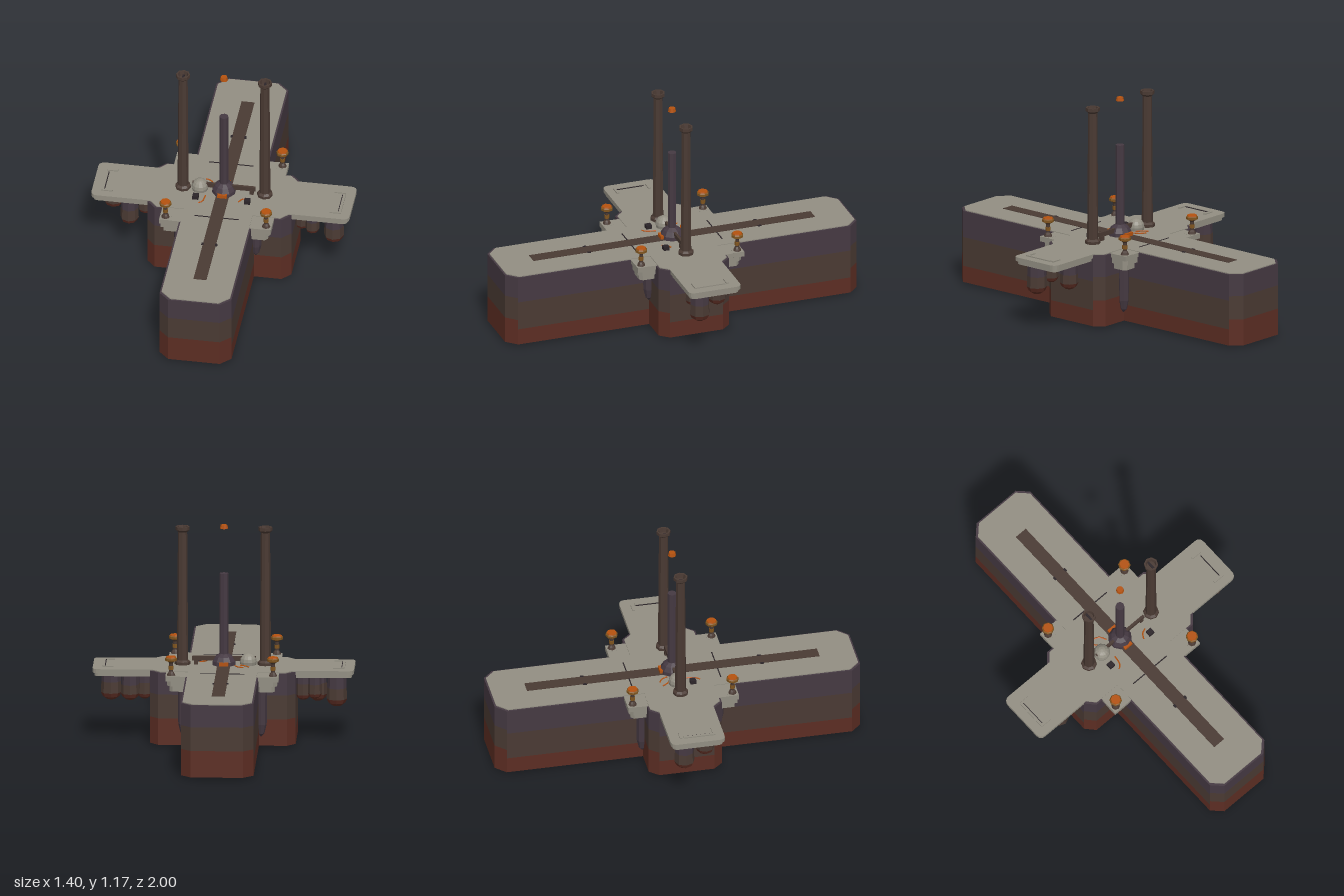
import * as THREE from 'three';

const mat = (name, color, extra = {}) => {
  const m = new THREE.MeshStandardMaterial({ color, flatShading: true, ...extra });
  m.name = name;
  return m;
};

export function createModel() {
  const stone = mat('pale stone', 0x928e82);
  const plum = mat('dark plum', 0x453942);
  const brown = mat('dark brown', 0x4a3a33);
  const rust = mat('rust red', 0x5c2d23);
  const ember = mat('ember orange', 0xb4520f);
  const bronze = mat('bronze', 0x80551f);
  const dark = mat('charcoal', 0x2b2428);
  const root = new THREE.Group();
  root.name = 'crossPlatform';

  const add = (name, geo, material, x = 0, y = 0, z = 0, parent = root) => {
    const mesh = new THREE.Mesh(geo, material);
    mesh.name = name;
    mesh.position.set(x, y, z);
    parent.add(mesh);
    return mesh;
  };
  const box = (name, w, h, d, m, x, y, z) => add(name, new THREE.BoxGeometry(w, h, d), m, x, y, z);
  const turned = (name, profile, sides, m, x, y, z) =>
    add(name, new THREE.LatheGeometry(profile.map(p => new THREE.Vector2(...p)), sides), m, x, y, z);
  // flat slab from a shape drawn in plan (shape y = -z), rising from y
  const slab = (name, shape, h, m, x, y, z) => {
    const g = new THREE.ExtrudeGeometry(shape, { depth: h, bevelEnabled: false, curveSegments: 4 });
    return add(name, g.rotateX(-Math.PI / 2), m, x, y, z);
  };

  // Cross-shaped plan with chamfered corners, inset by d
  const outline = d => {
    const q = [[0.39 - d, 0.15 - d], [0.345 - d, 0.2 - d], [0.195 - d, 0.2 - d], [0.195 - d, 0.945 - d], [0.14 - d, 1 - d]];
    const back = [...q].reverse();
    return [
      ...q, ...back.map(([x, y]) => [-x, y]),
      ...q.map(([x, y]) => [-x, -y]), ...back.map(([x, y]) => [x, -y]),
    ].map(p => new THREE.Vector2(...p));
  };

  // Hull walls in three colour bands; ends and flanks split at different heights
  const plan = outline(0);
  [['lowerHull', rust], ['middleHull', brown], ['upperHull', plum]].forEach(([name, m], band) => {
    const pos = [];
    plan.forEach((a, i) => {
      const b = plan[(i + 1) % plan.length];
      const end = Math.abs(b.x - a.x) > Math.abs(b.y - a.y) * 0.9;
      const levels = end ? [0.01, 0.155, 0.285, 0.405] : [0.01, 0.1, 0.26, 0.405];
      const lo = levels[band], hi = levels[band + 1];
      pos.push(a.x, lo, -a.y, b.x, lo, -b.y, b.x, hi, -b.y);
      pos.push(a.x, lo, -a.y, b.x, hi, -b.y, a.x, hi, -a.y);
    });
    const g = new THREE.BufferGeometry();
    g.setAttribute('position', new THREE.Float32BufferAttribute(pos, 3));
    g.computeVertexNormals();
    add(name, g, m);
  });
  add('hullBottom', new THREE.ShapeGeometry(new THREE.Shape(plan)).rotateX(Math.PI / 2).scale(1, 1, -1).scale(1, 1, -1), rust, 0, 0.01, 0);
  add('hullRim', new THREE.ShapeGeometry(new THREE.Shape(plan)).rotateX(-Math.PI / 2), plum, 0, 0.405, 0);
  slab('deck', new THREE.Shape(outline(0.009)), 0.006, stone, 0, 0.404, 0);
  add('bottomDrain', new THREE.CylinderGeometry(0.04, 0.03, 0.012, 10), bronze, 0, 0.006, 0.16);

  // Deck markings
  box('deckStripe', 0.07, 0.006, 1.6, brown, 0, 0.41, 0);
  for (const s of [-1, 1]) {
    box('deckSeam', 0.24, 0.003, 0.006, dark, 0, 0.4105, s * 0.242);
    for (const t of [-1, 1]) box('deckNotch', 0.012, 0.006, 0.02, dark, t * 0.037, 0.4105, s * 0.485);
  }

  // Side wings with a stepped rounded edge, a raised bracket and hanging pods
  const rounded = (w, d, r) => {
    const s = new THREE.Shape();
    s.moveTo(-w, -d);
    s.lineTo(w - r, -d);
    s.quadraticCurveTo(w, -d, w, -d + r);
    s.lineTo(w, d - r);
    s.quadraticCurveTo(w, d, w - r, d);
    s.lineTo(-w, d);
    return s;
  };
  const pod = (name, x, z, r, bottom) => {
    const top = 0.385, h = top - bottom;
    const mid = bottom + h * 0.55, low = bottom + r * 0.75;
    turned(name + 'Top', [[r * 0.95, mid], [r * 0.9, top]], 8, plum, x, 0, z);
    turned(name + 'Middle', [[r, low], [r * 0.95, mid]], 8, brown, x, 0, z);
    turned(name + 'Tip', [[0, bottom], [r * 0.45, bottom + r * 0.08], [r * 0.82, bottom + r * 0.35], [r, low]], 8, rust, x, 0, z);
  };
  for (const s of [-1, 1]) {
    const upper = slab('wingTop', rounded(0.165, 0.148, 0.035), 0.022, stone, s * 0.535, 0.388, 0);
    const lower = slab('wingUnderside', rounded(0.155, 0.138, 0.03), 0.018, stone, s * 0.535, 0.37, 0);
    if (s < 0) upper.rotation.y = lower.rotation.y = Math.PI;
    box('wingBracket', 0.014, 0.008, 0.17, stone, s * 0.643, 0.412, 0.015);
    for (const z of [-0.085, 0.095]) box('wingBracketArm', 0.06, 0.008, 0.014, stone, s * 0.618, 0.412, z);
    box('wingBracketShade', 0.005, 0.005, 0.16, dark, s * 0.634, 0.411, 0.015);
    pod('outerPod', s * 0.607, s * 0.06, 0.055, 0.2);
    pod('innerPod', s * 0.5, s * -0.075, 0.05, s < 0 ? 0.2 : 0.228);
    pod('smallPod', s * 0.49, s * 0.06, 0.038, 0.24);
    pod('rootPod', s * 0.425, 0, 0.04, 0.22);
  }

  // Four corner mounts: stepped collar, hanging spike and control knob
  const collar = r => {
    const c = r * 0.35;
    return new THREE.Shape([[-r, -r], [r - c, -r], [r, -r + c], [r, r - c], [r - c, r], [-r + c, r], [-r, r - c]]
      .map(p => new THREE.Vector2(...p)));
  };
  for (const sx of [-1, 1]) for (const sz of [-1, 1]) {
    const cx = sx * 0.235, cz = sz * 0.235;
    [[0.068, 0.385, 0.022], [0.06, 0.352, 0.033], [0.047, 0.32, 0.032]].forEach(([r, y, h]) =>
      slab('cornerCollar', collar(r), h, stone, cx, y, cz));
    const tip = sz < 0 ? 0.06 : 0.16;
    turned('cornerSpike', [[0, tip], [0.018, tip + 0.02], [0.03, tip + 0.07], [0.033, 0.33]], 8, plum, sx * 0.207, 0, sz * 0.207);
    const kx = sx * 0.273, kz = sz * 0.273;
    box('knobPlinth', 0.06, 0.028, 0.06, stone, kx, 0.394, kz);
    turned('knobStem', [[0.024, 0.405], [0.018, 0.42], [0.011, 0.43], [0.011, 0.475], [0.02, 0.488]], 8, brown, kx, 0, kz);
    add('knobBand', new THREE.CylinderGeometry(0.014, 0.014, 0.02, 8), bronze, kx, 0.45, kz);
    turned('knobRim', [[0.015, 0.482], [0.033, 0.49], [0.033, 0.502], [0.025, 0.509]], 8, bronze, kx, 0, kz);
    add('knobCap', new THREE.CylinderGeometry(0.026, 0.03, 0.012, 8), ember, kx, 0.506, kz);
  }

  // Tall hollow pillars
  for (const s of [-1, 1]) {
    turned('pillar', [
      [0.042, 0.405], [0.042, 0.425], [0.03, 0.435], [0.025, 1.135], [0.038, 1.147],
      [0.038, 1.165], [0.029, 1.165], [0.025, 1.14], [0, 1.14],
    ], 8, brown, s * 0.222, 0, 0);
    box('pillarSlot', 0.012, 0.006, 0.05, dark, s * 0.222, 1.142, 0);
  }

  // Central mast, dome and floating disc
  turned('mastDome', [[0.065, 0.405], [0.063, 0.43], [0.048, 0.455], [0.025, 0.47], [0, 0.472]], 10, plum, 0, 0, 0);
  add('mast', new THREE.CylinderGeometry(0.024, 0.024, 0.47, 8), plum, 0, 0.675, 0);
  add('floatingDisc', new THREE.CylinderGeometry(0.018, 0.022, 0.02, 8), ember, 0, 1.165, 0);
  for (const s of [-1, 1]) box('domeLamp', 0.05, 0.02, 0.02, ember, 0, 0.422, s * 0.062);

  // Low crossbar and deck fittings
  box('crossbar', 0.34, 0.025, 0.014, brown, 0, 0.443, 0);
  for (const s of [-1, 1]) {
    box('crossbarFoot', 0.022, 0.03, 0.02, brown, s * 0.15, 0.42, 0);
    box('deckCube', 0.032, 0.022, 0.032, dark, s * 0.14, 0.42, 0.085);
  }
  add('deckOrb', new THREE.SphereGeometry(0.046, 12, 8), stone, -0.13, 0.427, 0);

  // Loose glowing cables
  [
    [[-0.11, -0.09], [-0.08, -0.075], [-0.06, -0.04]],
    [[-0.14, -0.08], [-0.12, -0.05], [-0.09, -0.03]],
    [[-0.12, 0.13], [-0.1, 0.11], [-0.09, 0.06]],
    [[0.09, 0.09], [0.11, 0.06], [0.135, 0.05]],
  ].forEach(pts => {
    const curve = new THREE.CatmullRomCurve3(pts.map(([x, z]) => new THREE.Vector3(x, 0.412, z)));
    add('cable', new THREE.TubeGeometry(curve, 8, 0.004, 5), ember);
  });
  return root;
}
